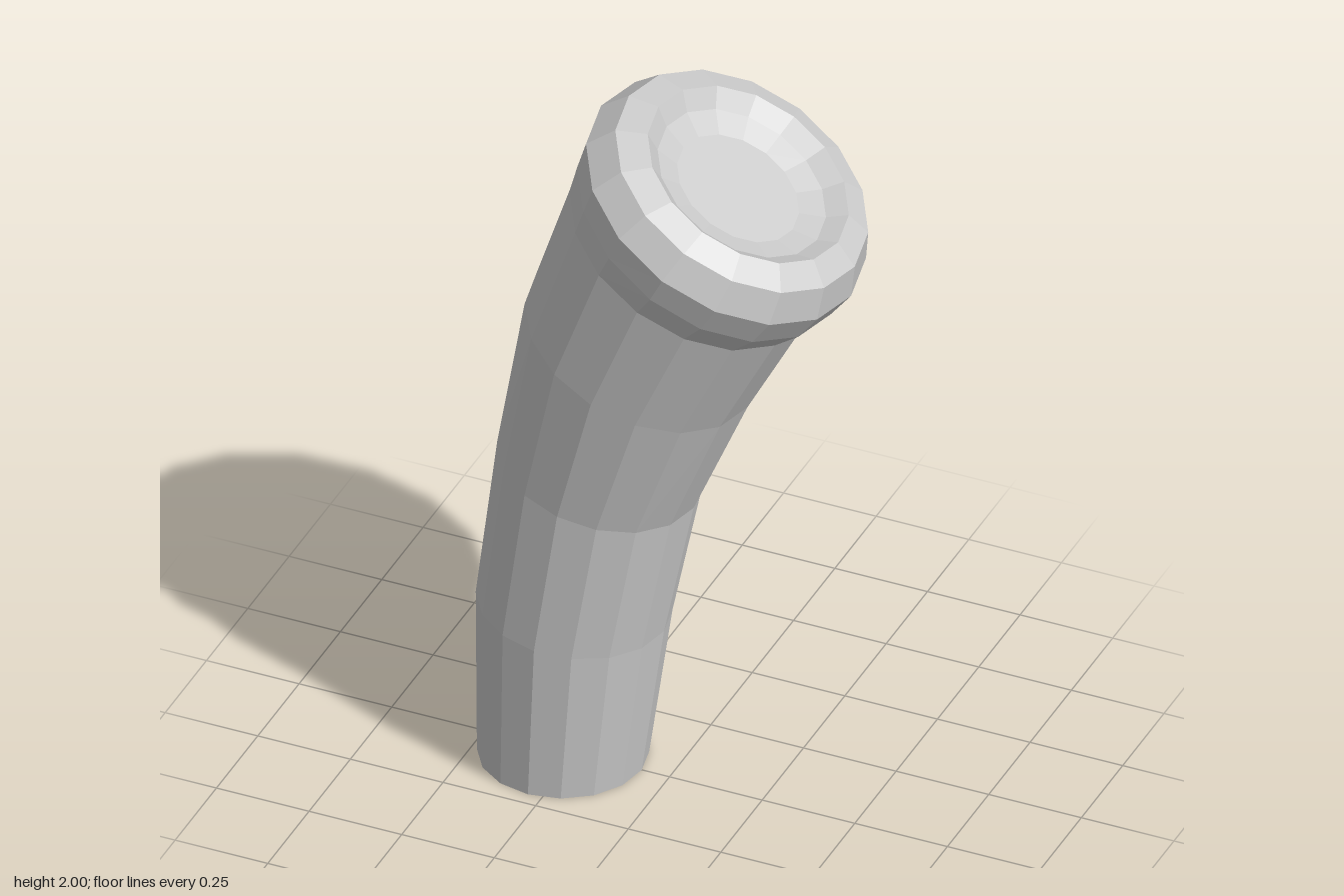
import * as THREE from 'three';

const SIDES = 16;

// Each ring is a tilted circle given by its two ends in the z = 0 plane: [leftX, leftY, rightX, rightY]
const bottom = [-0.5, 0, -0.075, 0];
const neck = [-0.235, 1.78, 0.365, 1.45];
const rimOuter = [-0.11, 2.0, 0.5, 1.66];
const rimInner = [-0.03, 1.99, 0.455, 1.72];
const floorEdge = [0.038, 1.888, 0.332, 1.724];

const shaftRings = [
  bottom,
  [-0.5, 0.48, -0.015, 0.43],
  [-0.44, 0.95, 0.065, 0.82],
  [-0.36, 1.4, 0.21, 1.16],
  neck,
];
const collarRings = [
  neck,
  [-0.21, 1.87, 0.435, 1.5],
  [-0.185, 1.95, 0.49, 1.57],
  rimOuter,
  rimInner,
];
const dishRings = [rimInner, [-0.008, 1.937, 0.398, 1.711], floorEdge];

function ringPoint([lx, ly, rx, ry], i) {
  const a = (i / SIDES) * Math.PI * 2;
  const radius = Math.hypot(rx - lx, ry - ly) / 2;
  const t = (1 + Math.cos(a)) / 2;
  return [lx + (rx - lx) * t, ly + (ry - ly) * t, radius * Math.sin(a)];
}

// Joins successive rings with quads, optionally closing the last ring
function loft(name, rings, material, closeEnd = false) {
  const pos = [];
  for (let k = 0; k < rings.length - 1; k++) {
    for (let i = 0; i < SIDES; i++) {
      const a = ringPoint(rings[k], i), b = ringPoint(rings[k], i + 1);
      const c = ringPoint(rings[k + 1], i), d = ringPoint(rings[k + 1], i + 1);
      pos.push(...a, ...c, ...b, ...b, ...c, ...d);
    }
  }
  if (closeEnd) {
    const last = rings[rings.length - 1];
    const centre = [(last[0] + last[2]) / 2, (last[1] + last[3]) / 2, 0];
    for (let i = 0; i < SIDES; i++) {
      pos.push(...ringPoint(last, i), ...centre, ...ringPoint(last, i + 1));
    }
  }
  const geometry = new THREE.BufferGeometry();
  geometry.setAttribute('position', new THREE.Float32BufferAttribute(pos, 3));
  geometry.computeVertexNormals();
  const mesh = new THREE.Mesh(geometry, material);
  mesh.name = name;
  return mesh;
}

export function createModel() {
  const group = new THREE.Group();
  group.name = 'bentPipe';
  const grey = new THREE.MeshStandardMaterial({
    color: 0xcccccc, flatShading: true, side: THREE.DoubleSide,
  });
  // Curved, widening shaft, open at the foot
  group.add(loft('shaft', shaftRings, grey));
  // Bulging collar around the mouth
  group.add(loft('collar', collarRings, grey));
  // Shallow recess inside the rim
  group.add(loft('dish', dishRings, grey, true));
  return group;
}
